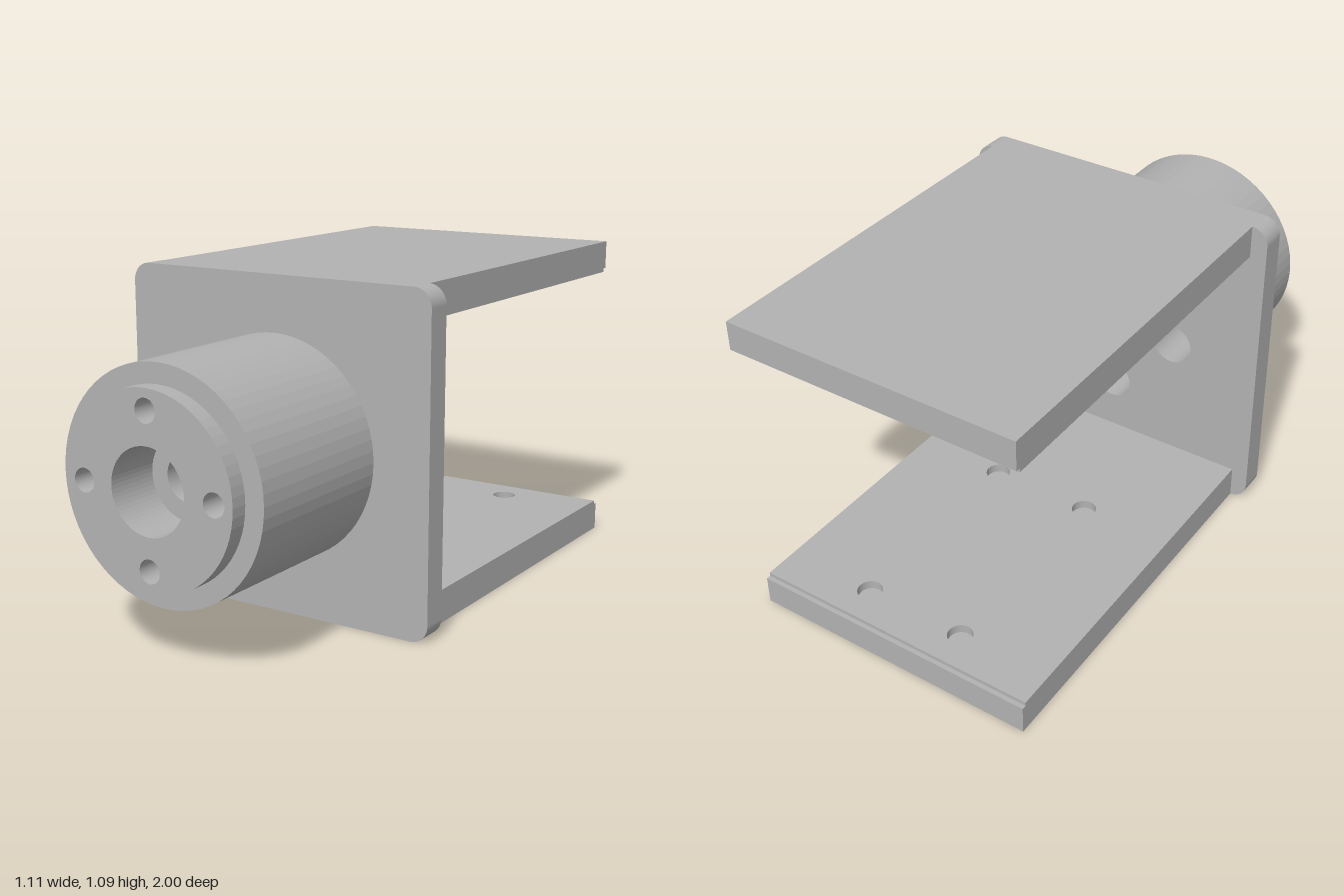
import * as THREE from 'three';

const HEIGHT = 1.09, MID = HEIGHT / 2;
const PLATE_BACK = 0.295, PLATE_FRONT = 0.382, STEP = 0.82, SHOULDER = 0.943, TIP = 1;

function circle(r, x = 0, y = 0) {
  return new THREE.Shape().absarc(x, y, r, 0, Math.PI * 2, false);
}

function rectangle(x0, x1, y0, y1, r = 0) {
  const s = new THREE.Shape();
  if (r === 0) {
    s.moveTo(x0, y0).lineTo(x1, y0).lineTo(x1, y1).lineTo(x0, y1).closePath();
    return s;
  }
  s.absarc(x1 - r, y0 + r, r, -Math.PI / 2, 0, false);
  s.absarc(x1 - r, y1 - r, r, 0, Math.PI / 2, false);
  s.absarc(x0 + r, y1 - r, r, Math.PI / 2, Math.PI, false);
  s.absarc(x0 + r, y0 + r, r, Math.PI, Math.PI * 1.5, false);
  s.closePath();
  return s;
}

// Extrudes an outline with holes between two depths
function slab(shape, holes, from, to) {
  shape.holes.push(...holes);
  const geometry = new THREE.ExtrudeGeometry(shape, {
    depth: to - from, bevelEnabled: false, curveSegments: 32,
  });
  return geometry.translate(0, 0, from);
}

// Centre bore and four screw holes around it
function boltPattern(boreRadius, screwRadius) {
  const holes = [circle(boreRadius)];
  for (let i = 0; i < 4; i++) {
    const a = i * Math.PI / 2;
    holes.push(circle(screwRadius, 0.235 * Math.cos(a), 0.235 * Math.sin(a)));
  }
  return holes;
}

export function createModel() {
  const metal = new THREE.MeshStandardMaterial({ color: 0xb2b2b2 });
  metal.name = 'greyMetal';
  const model = new THREE.Group();
  model.name = 'bracket';

  const add = (parent, name, geometry) => {
    const mesh = new THREE.Mesh(geometry, metal);
    mesh.name = name;
    parent.add(mesh);
  };

  // Plate and stepped hub: wide counterbores at the back, wide bore at the front
  const hub = new THREE.Group();
  hub.name = 'plateAndHub';
  hub.position.y = MID;
  model.add(hub);
  const backHoles = () => boltPattern(0.075, 0.073);
  const frontHoles = () => boltPattern(0.133, 0.037);
  add(hub, 'mountingPlate',
    slab(rectangle(-0.557, 0.557, -MID, MID, 0.06), backHoles(), PLATE_BACK, PLATE_FRONT));
  add(hub, 'hubRear', slab(circle(0.363), backHoles(), PLATE_FRONT, STEP));
  add(hub, 'hubFront', slab(circle(0.363), frontHoles(), STEP, SHOULDER));
  add(hub, 'hubCollar', slab(circle(0.3), frontHoles(), SHOULDER, TIP));

  // Arms: blind holes on the inner face and a shallow rebate at the free end
  const screwHoles = () => [0.87, 0.167].flatMap(
    (y) => [-0.178, 0.178].map((x) => circle(0.041, x, y)));
  const armLayer = (end, holes, from, to) =>
    slab(rectangle(-0.5, 0.5, -PLATE_BACK, end), holes, from, to).rotateX(-Math.PI / 2);
  for (const upper of [false, true]) {
    const arm = new THREE.Group();
    arm.name = upper ? 'upperArm' : 'lowerArm';
    add(arm, 'armBase', armLayer(1, [], 0, 0.08));
    add(arm, 'armDrilledLayer', armLayer(1, screwHoles(), 0.08, 0.097));
    add(arm, 'armInnerFace', armLayer(0.985, screwHoles(), 0.097, 0.11));
    if (upper) {
      arm.rotation.z = Math.PI;
      arm.position.y = HEIGHT;
    }
    model.add(arm);
  }
  return model;
}
